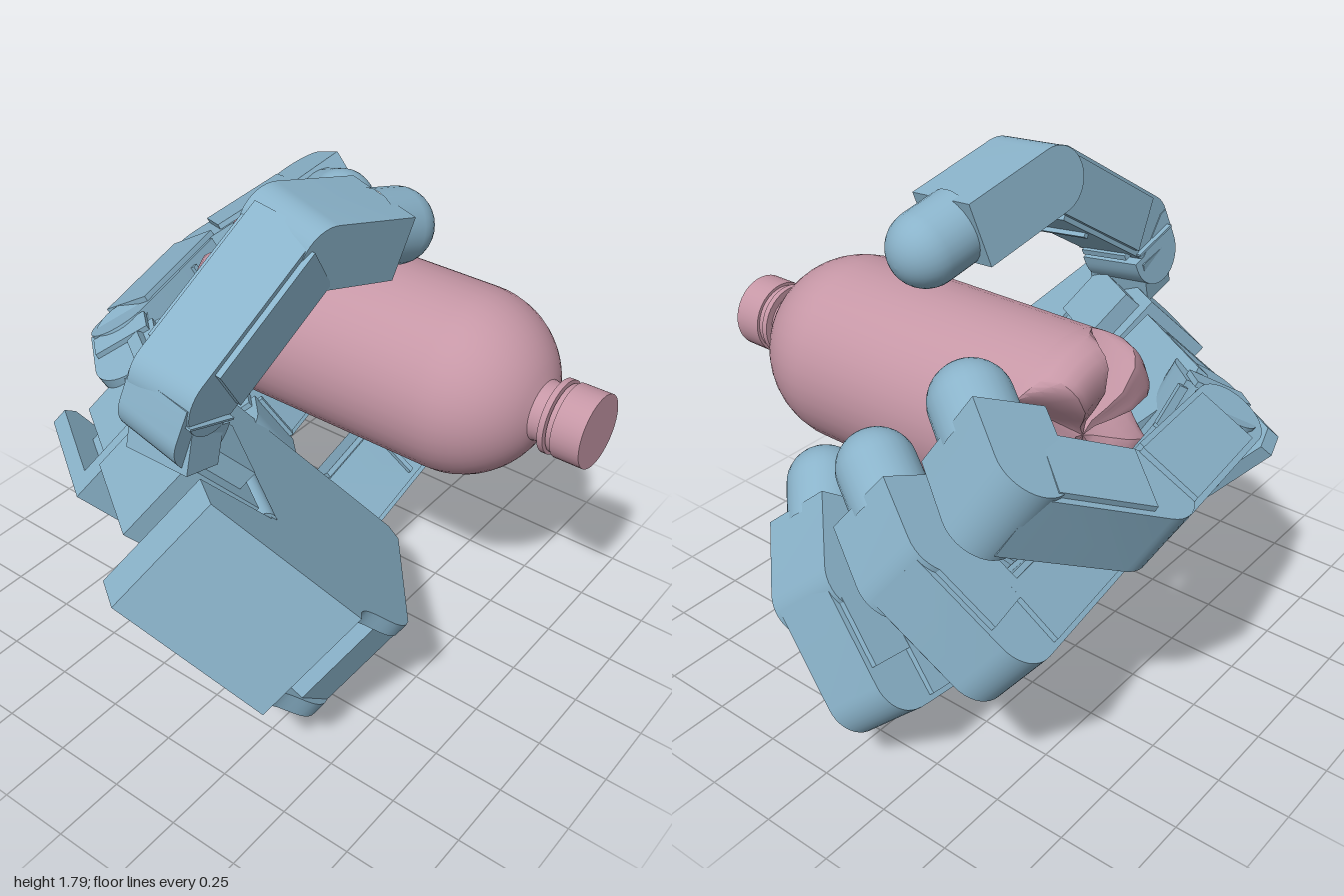
import * as THREE from 'three';
import { toCreasedNormals } from 'three/addons/utils/BufferGeometryUtils.js';

const V = (x, y, z) => new THREE.Vector3(x, y, z);
const handMat = new THREE.MeshStandardMaterial({ color: 0x8ab3ca });
const bottleMat = new THREE.MeshStandardMaterial({ color: 0xc697a6, side: THREE.DoubleSide });

function add(parent, geometry, name, material = handMat) {
  const mesh = new THREE.Mesh(geometry, material);
  mesh.name = name;
  parent.add(mesh);
  return mesh;
}

// Group whose x axis runs from a to b and whose z axis follows the hinge
function frame(parent, a, b, hinge, name) {
  const x = b.clone().sub(a).normalize();
  const z = hinge.clone().addScaledVector(x, -hinge.dot(x)).normalize();
  const y = z.clone().cross(x);
  const g = new THREE.Group();
  g.name = name;
  g.applyMatrix4(new THREE.Matrix4().makeBasis(x, y, z).setPosition(a));
  parent.add(g);
  return g;
}

// Extrude centred on z = 0
function slab(shape, depth) {
  const geo = new THREE.ExtrudeGeometry(shape, { depth, bevelEnabled: false, curveSegments: 10 });
  return toCreasedNormals(geo.translate(0, 0, -depth / 2), 0.6);
}

// Side outline of a link: round at its own joint, cut back on the curl side
function linkShape(len, r) {
  const s = new THREE.Shape();
  s.absarc(0, 0, r, Math.PI / 2, Math.PI * 1.5, false);
  s.lineTo(len, -r);
  s.lineTo(len, -r * 0.75);
  s.lineTo(len - r * 0.75, r * 0.55);
  s.lineTo(len - r * 0.75, r);
  s.closePath();
  return s;
}

function addLink(parent, a, b, hinge, r, width, name) {
  const len = a.distanceTo(b);
  const g = frame(parent, a, b, hinge, name);
  add(g, slab(linkShape(len, r), width * 0.86), name + 'Body');
  // Side covers, a little shorter than the body
  for (const s of [-1, 1]) {
    const cover = new THREE.BoxGeometry(len - r * 0.9, r * 1.7, width * 0.07);
    add(g, cover.translate(len / 2, 0, s * width * 0.465), name + 'Cover');
  }
  // Hinge barrel at the far joint, raised rib on the curl side
  const barrel = new THREE.CylinderGeometry(r * 0.9, r * 0.9, width * 0.8, 24).rotateX(Math.PI / 2);
  add(g, barrel.translate(len, 0, 0), name + 'Hinge');
  add(g, new THREE.BoxGeometry(0.02, 0.03, width * 0.7).translate(len * 0.55, r, 0), name + 'Rib');
}

// Last link: box with rounded back, then a capsule-like pad
function addTip(parent, a, b, hinge, r, width, pad) {
  const len = a.distanceTo(b);
  const boxEnd = Math.max(len - 0.11, 0.12);
  const g = frame(parent, a, b, hinge, 'fingertip');
  const s = new THREE.Shape();
  s.absarc(0, 0, r, Math.PI / 2, Math.PI * 1.5, false);
  s.lineTo(boxEnd, -r);
  s.lineTo(boxEnd, r);
  s.closePath();
  add(g, slab(s, width), 'fingertipBox');
  const profile = [new THREE.Vector2(pad, boxEnd - 0.03)];
  for (let i = 0; i <= 10; i++) {
    const t = (i / 10) * Math.PI / 2;
    profile.push(new THREE.Vector2(pad * Math.cos(t), len + pad * Math.sin(t)));
  }
  add(g, new THREE.LatheGeometry(profile, 28).rotateZ(-Math.PI / 2), 'fingertipPad');
}

function addFinger(parent, joints, r, width, name) {
  const g = new THREE.Group();
  g.name = name;
  parent.add(g);
  const n = joints.length;
  const hinge = joints[n - 3].clone().sub(joints[n - 4]).cross(joints[n - 1].clone().sub(joints[n - 3])).normalize();
  for (let i = 0; i < n - 2; i++) {
    addLink(g, joints[i], joints[i + 1], hinge, r, width, i === 0 ? 'baseLink' : 'link');
  }
  addTip(g, joints[n - 2], joints[n - 1], hinge, r, width, 0.125);
}

// Palm outline; x runs to the fingers, y to the thumb side
function palmShape(hollow) {
  const s = new THREE.Shape();
  const lines = (pts) => pts.forEach(([x, y]) => s.lineTo(x, y));
  s.moveTo(0, 0);
  s.lineTo(-0.19, -0.56);
  if (hollow) lines([[-0.02, -0.6], [-0.1, -0.72], [-0.04, -0.87]]);
  else s.bezierCurveTo(-0.05, -0.6, -0.17, -0.78, -0.04, -0.87);
  if (hollow) lines([[0.31, -1.04], [0.4, -0.86], [0.58, -0.94], [0.53, -1.146]]);
  lines([[0.56, -1.17], [0.62, -1.15]]);
  // Recesses behind the finger bases and at the end beside the thumb
  if (hollow) lines([[0.65, -1.06], [0.59, -1.04], [0.85, -0.22], [0.85, -0.1], [0.6, -0.1], [0.6, 0]]);
  else lines([[0.99, -0.06], [0.95, 0]]);
  lines([[0.53, 0], [0.51, -0.31], [0.13, -0.31], [0.12, 0]]);
  s.closePath();
  return s;
}

function addPalm(parent) {
  const n = V(0.578, 0.709, 0.403).normalize();
  const f = V(0.554, 0.02, -0.831);
  f.addScaledVector(n, -f.dot(n)).normalize();
  const e = n.clone().cross(f);
  const g = new THREE.Group();
  g.name = 'palm';
  g.applyMatrix4(new THREE.Matrix4().makeBasis(f, e, n).setPosition(-0.74, 1.13, 0.24));
  parent.add(g);
  // Front plate, hollowed core and back plate
  const layers = [['palmFrontPlate', 0.05, -0.025, false], ['palmCore', 0.33, -0.215, true], ['palmBackPlate', 0.06, -0.41, false]];
  for (const [name, depth, z, hollow] of layers) add(g, slab(palmShape(hollow), depth).translate(0, 0, z), name);
  // Motor housing inside the side opening, finger housings in the edge recess
  add(g, new THREE.BoxGeometry(0.17, 0.17, 0.22).rotateZ(-0.45).translate(0.46, -0.97, -0.22), 'sideHousing');
  for (const t of [0.13, 0.5, 0.87]) {
    const housing = new THREE.BoxGeometry(0.16, 0.2, 0.24).rotateZ(-0.3);
    add(g, housing.translate(0.6 + 0.29 * t, -1.04 + 0.93 * t, -0.22), 'fingerHousing');
  }
  add(g, new THREE.BoxGeometry(0.24, 0.14, 0.2).translate(0.75, -0.09, -0.2), 'endHousing');
  // Thumb mount in the notch
  add(g, new THREE.BoxGeometry(0.35, 0.3, 0.29).translate(0.325, -0.11, -0.145), 'thumbMount');
  add(g, new THREE.BoxGeometry(0.25, 0.2, 0.1).translate(0.33, -0.1, 0.02), 'thumbMountTop');
  add(g, new THREE.CylinderGeometry(0.04, 0.04, 0.34, 20).rotateZ(Math.PI / 2).translate(0.31, -0.31, -0.03), 'thumbAxle');
}

function addBottle(parent) {
  const g = new THREE.Group();
  g.name = 'bottle';
  g.position.set(0.285, 1.1, 0);
  parent.add(g);
  const R = 0.315;
  const rim = -0.4;
  // Body with domed shoulder and neck
  const p = [[R, rim], [R, 0.1]];
  for (let i = 0; i <= 12; i++) {
    const t = (i / 12) * 1.24;
    p.push([R * Math.cos(t), 0.43 + R * Math.sin(t)]);
  }
  p.push([0.1, 0.74], [0.1, 0.83]);
  const lathe = (pts, seg) => new THREE.LatheGeometry(pts.map(([r, y]) => new THREE.Vector2(r, y)), seg);
  add(g, toCreasedNormals(lathe(p, 40).rotateX(Math.PI / 2), 0.6), 'bottleBody', bottleMat);
  // Five-footed base: V grooves flattened towards the rim between the feet
  const base = lathe([[0, -0.46], [0.05, -0.47], [0.1, -0.5], [0.16, -0.53], [0.24, -0.535],
    [0.275, -0.52], [0.3, -0.495], [R, -0.455], [R, rim]], 80);
  const pos = base.attributes.position;
  const step = Math.PI * 0.4;
  for (let i = 0; i < pos.count; i++) {
    const x = pos.getX(i), y = pos.getY(i), z = pos.getZ(i);
    const a = Math.atan2(x, z) - THREE.MathUtils.degToRad(202.5) + step * 10.5;
    const off = Math.abs((a % step) - step / 2);
    const groove = Math.max(0, 1 - off / 0.32) * Math.min(1, Math.hypot(x, z) / 0.1);
    pos.setY(i, y + groove * (rim - y));
  }
  add(g, toCreasedNormals(base.rotateX(Math.PI / 2), 0.5), 'bottleBase', bottleMat);
  // Neck rings and cap
  for (const [r, z, h, name] of [[0.125, 0.785, 0.02, 'neckRing'], [0.125, 0.87, 0.1, 'cap'], [0.115, 0.81, 0.02, 'capSeal']]) {
    add(g, new THREE.CylinderGeometry(r, r, h, 36).rotateX(Math.PI / 2).translate(0, 0, z), name, bottleMat);
  }
}

export function createModel() {
  const model = new THREE.Group();
  model.name = 'handHoldingBottle';
  addPalm(model);
  addBottle(model);
  // Joint centres from the palm to the tip
  addFinger(model, [V(0.16, 0.27, 0.0), V(0.29, 0.25, -0.1), V(0.87, 0.36, -0.13), V(0.83, 0.6, 0.1), V(0.62, 0.79, 0.31)], 0.12, 0.28, 'frontFinger');
  addFinger(model, [V(0.04, 0.62, -0.28), V(0.18, 0.61, -0.42), V(0.78, 0.66, -0.53), V(0.83, 0.87, -0.27), V(0.72, 1.03, -0.03)], 0.12, 0.28, 'middleFinger');
  addFinger(model, [V(-0.22, 0.98, -0.52), V(-0.09, 0.99, -0.67), V(0.46, 1.05, -0.77), V(0.81, 1.22, -0.59), V(0.66, 1.34, -0.35)], 0.12, 0.28, 'backFinger');
  addFinger(model, [V(-0.62, 1.27, 0), V(-0.59, 1.37, 0.02), V(-0.13, 1.67, 0.07), V(0.3, 1.55, 0.13)], 0.11, 0.28, 'thumb');
  // Bracket joining the thumb to its mount
  add(model, new THREE.BoxGeometry(0.14, 0.16, 0.24).rotateZ(-0.25).translate(-0.62, 1.21, 0), 'thumbBracket');
  return model;
}
